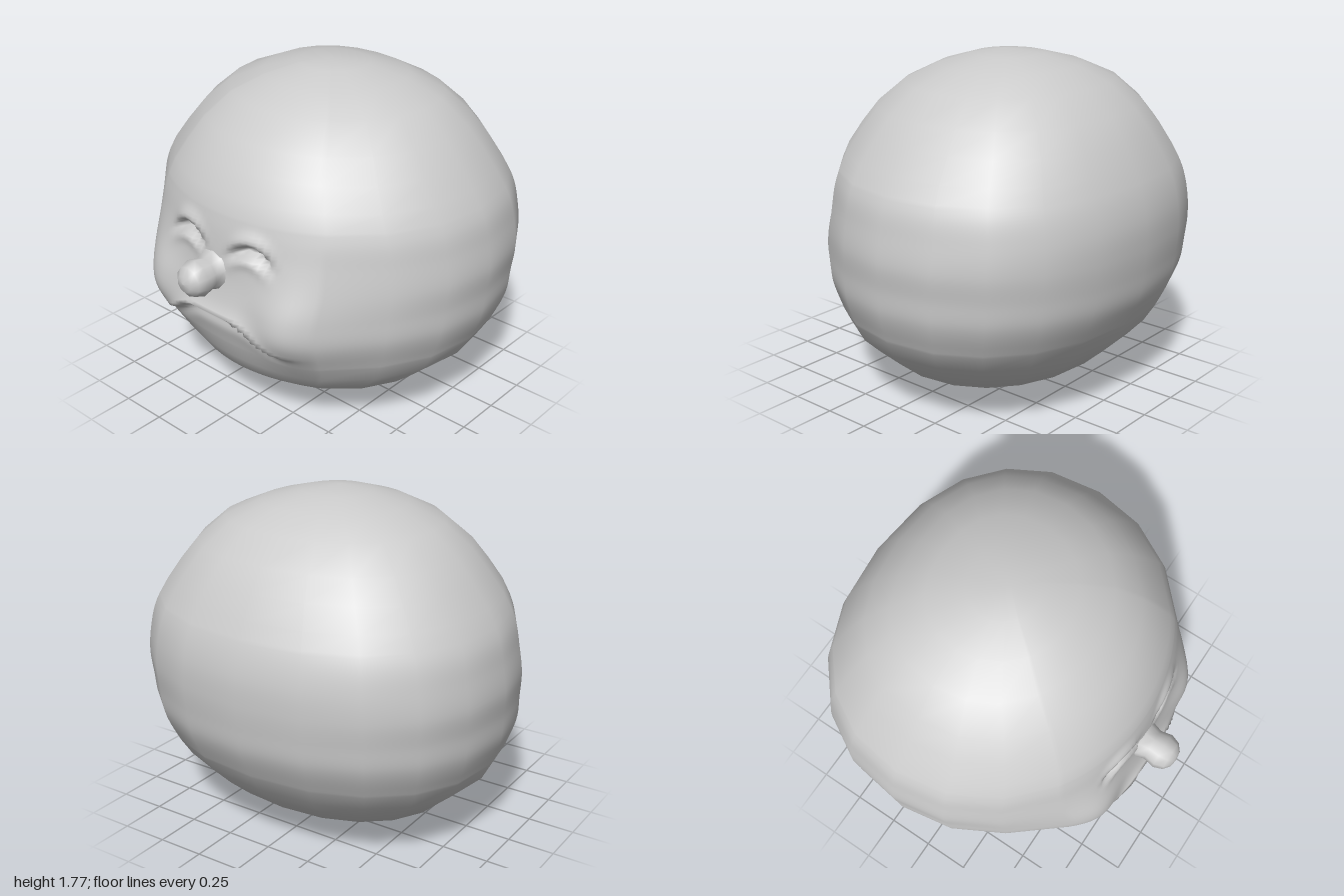
import * as THREE from 'three';
import { mergeVertices } from 'three/addons/utils/BufferGeometryUtils.js';

// Head outline by height: y, half width, front z, back z
const OUTLINE = [
  [0, 0, -0.03, -0.03], [0.04, 0.25, 0.22, -0.28], [0.08, 0.42, 0.34, -0.42],
  [0.17, 0.66, 0.52, -0.62], [0.27, 0.77, 0.65, -0.73], [0.36, 0.87, 0.7, -0.81],
  [0.5, 0.94, 0.75, -0.89], [0.62, 0.98, 0.785, -0.94], [0.75, 0.99, 0.79, -0.96],
  [0.88, 1, 0.78, -0.97], [1.02, 0.98, 0.77, -0.965], [1.15, 0.95, 0.75, -0.935],
  [1.28, 0.88, 0.71, -0.88], [1.39, 0.8, 0.64, -0.82], [1.5, 0.71, 0.555, -0.74],
  [1.62, 0.57, 0.41, -0.61], [1.7, 0.38, 0.25, -0.46], [1.75, 0.19, 0.08, -0.28],
  [1.77, 0, -0.07, -0.07],
];

const bell = (d, width) => Math.exp(-((d / width) ** 2));
const plateau = (d, width) => Math.exp(-((d / width) ** 4));

// Forward or backward push of the face surface at (x, y)
function faceRelief(x, y) {
  const ax = Math.abs(x);
  // cheeks
  let dz = 0.1 * bell(ax - 0.46, 0.2) * bell(y - 0.68, 0.25);
  // drooping upper lip with a step back underneath
  const lipY = 0.67 - 0.13 * THREE.MathUtils.smoothstep(ax, 0.12, 0.4);
  const d = y - lipY;
  const lip = d >= 0 ? 0.06 * Math.exp(-d / 0.07) : 0.06 * bell(d, 0.015) - 0.02 * bell(d + 0.045, 0.04);
  dz += lip * plateau(x, 0.36);
  // arched, closed eyes: lid above, crease, soft bulge below
  const ex = ax - 0.21;
  const e = y - (1.06 - 4 * ex * ex);
  dz += plateau(ex, 0.115) * (0.02 * bell(e - 0.05, 0.035)
    - 0.055 * bell(e + 0.012, 0.024) + 0.012 * bell(e + 0.065, 0.03));
  return dz;
}

function headGeometry() {
  const ys = OUTLINE.map((p) => p[0]);
  const outline = new THREE.CubicInterpolant(ys, OUTLINE.flatMap((p) => p.slice(1)), 3, new Float32Array(3));

  // Coarse rows and columns on the skull, fine ones on the face
  const rows = ys.filter((y) => y < 0.45 || y > 1.2);
  for (let i = 0; i <= 46; i++) rows.push(0.45 + i * 0.0163);
  rows.sort((a, b) => a - b);
  const angles = [];
  for (let a = -36; a <= 36; a += 2) angles.push(a);
  for (let a = 54; a <= 306; a += 18) angles.push(a);

  const positions = [];
  const index = [];
  const n = angles.length;
  rows.forEach((y, r) => {
    const [w, front, back] = outline.evaluate(y);
    const mid = (front + back) / 2 - 0.04 * w;
    angles.forEach((deg, c) => {
      const s = Math.sin(THREE.MathUtils.degToRad(deg));
      const k = Math.cos(THREE.MathUtils.degToRad(deg));
      const power = k > 0 ? 1 : 2 / 2.25; // the back is a little fuller
      const x = w * Math.sign(s) * Math.abs(s) ** power;
      let z = mid + (k > 0 ? (front - mid) * k : (back - mid) * Math.abs(k) ** power);
      if (k > 0.01) z += faceRelief(x, y);
      positions.push(x, y, z);
      if (r === rows.length - 1) return;
      const a = r * n + c;
      const b = r * n + ((c + 1) % n);
      index.push(a, b, b + n, a, b + n, a + n);
    });
  });
  let geometry = new THREE.BufferGeometry();
  geometry.setAttribute('position', new THREE.Float32BufferAttribute(positions, 3));
  geometry.setIndex(index);
  geometry = mergeVertices(geometry, 1e-4);
  geometry.computeVertexNormals();
  return geometry;
}

export function createModel() {
  const group = new THREE.Group();
  group.name = 'roundHead';
  const material = new THREE.MeshStandardMaterial({ color: 0xcccccc });

  const head = new THREE.Mesh(headGeometry(), material);
  head.name = 'head';

  // Button nose on a short neck, pointing forward
  const profile = [[0.14, 0], [0.1, 0.04], [0.085, 0.09], [0.098, 0.15], [0.08, 0.2], [0.045, 0.228], [0, 0.235]]
    .map(([r, h]) => new THREE.Vector2(r, h));
  const nose = new THREE.Mesh(new THREE.LatheGeometry(profile, 10), material);
  nose.name = 'nose';
  nose.rotation.x = Math.PI / 2;
  nose.position.set(-0.02, 0.885, 0.74);

  group.add(head, nose);
  return group;
}
